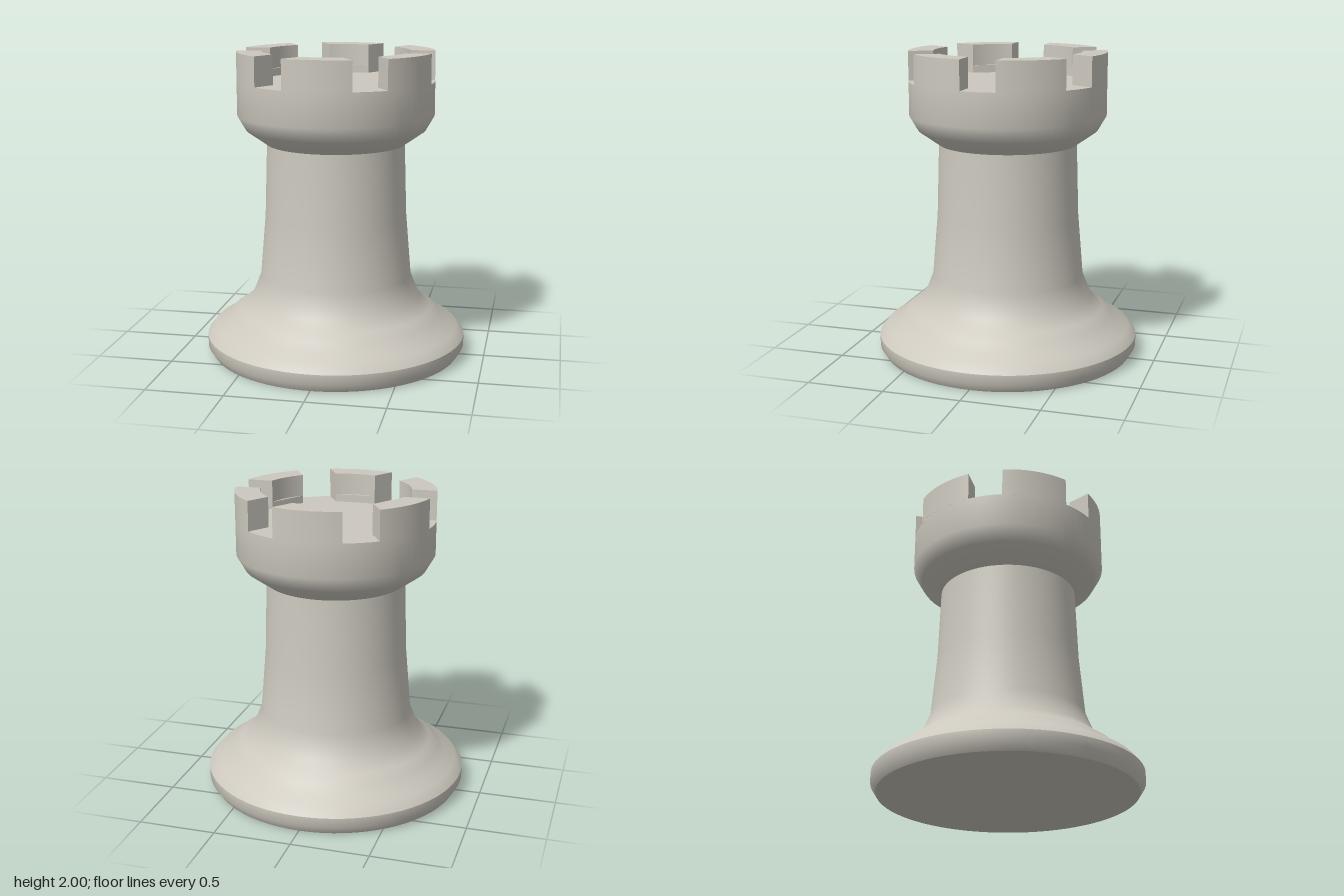
import * as THREE from 'three';
import { toCreasedNormals } from 'three/addons/utils/BufferGeometryUtils.js';

const OUTER = 0.64, INNER = 0.48, SLOT = 0.113; // head radius, wall inner radius, half slot width
const SLOT_Y = 1.81, FLOOR_Y = 1.86, TOP_Y = 2;

export function createModel() {
  const group = new THREE.Group();
  const stone = new THREE.MeshStandardMaterial({ color: 0xccc8be });
  stone.name = 'warm grey stone';

  const add = (name, geometry) => {
    const mesh = new THREE.Mesh(geometry, stone);
    mesh.name = name;
    group.add(mesh);
    return mesh;
  };
  const turned = (name, points) =>
    add(name, new THREE.LatheGeometry(points.map(([r, y]) => new THREE.Vector2(r, y)), 72));

  // Turned body, split wherever the profile has a hard edge
  turned('underside', [[0, 0], [0.825, 0]]);
  turned('baseRim', [[0.825, 0], [0.86, 0.055], [0.86, 0.12]]);
  turned('baseAndColumn', [
    [0.86, 0.12], [0.81, 0.18], [0.735, 0.21], [0.695, 0.265], [0.635, 0.305],
    [0.56, 0.37], [0.5, 0.52], [0.465, 0.93], [0.45, 1.4],
  ]);
  turned('head', [[0.45, 1.4], [0.585, 1.495], [OUTER, 1.59], [OUTER, SLOT_Y]]);
  turned('slotFloor', [[OUTER, SLOT_Y], [0, SLOT_Y]]);

  // Half angle of a sector at radius r, between two slots of constant width
  const halfAngle = (r) => Math.PI / 6 - Math.asin(SLOT / r);
  const ao = halfAngle(OUTER), ai = halfAngle(INNER);

  const raise = (shape, topY) => {
    const g = new THREE.ExtrudeGeometry(shape, {
      depth: topY - SLOT_Y, bevelEnabled: false, curveSegments: 12,
    });
    g.rotateX(-Math.PI / 2).translate(0, SLOT_Y, 0);
    return toCreasedNormals(g, Math.PI / 6);
  };

  // Battlement: curved wall block between slots
  const wall = new THREE.Shape();
  wall.absarc(0, 0, OUTER, -ao, ao, false);
  wall.absarc(0, 0, INNER, ai, -ai, true);
  wall.closePath();
  const wallGeometry = raise(wall, TOP_Y);

  // Low wedge of floor inside each battlement
  const wedge = new THREE.Shape();
  wedge.moveTo(SLOT * 2, 0);
  wedge.absarc(0, 0, INNER, -ai, ai, false);
  wedge.closePath();
  const wedgeGeometry = raise(wedge, FLOOR_Y);

  for (let i = 0; i < 6; i++) {
    const angle = Math.PI / 6 + (i * Math.PI) / 3;
    add('battlement' + (i + 1), wallGeometry).rotation.y = angle;
    add('floorWedge' + (i + 1), wedgeGeometry).rotation.y = angle;
  }
  return group;
}
